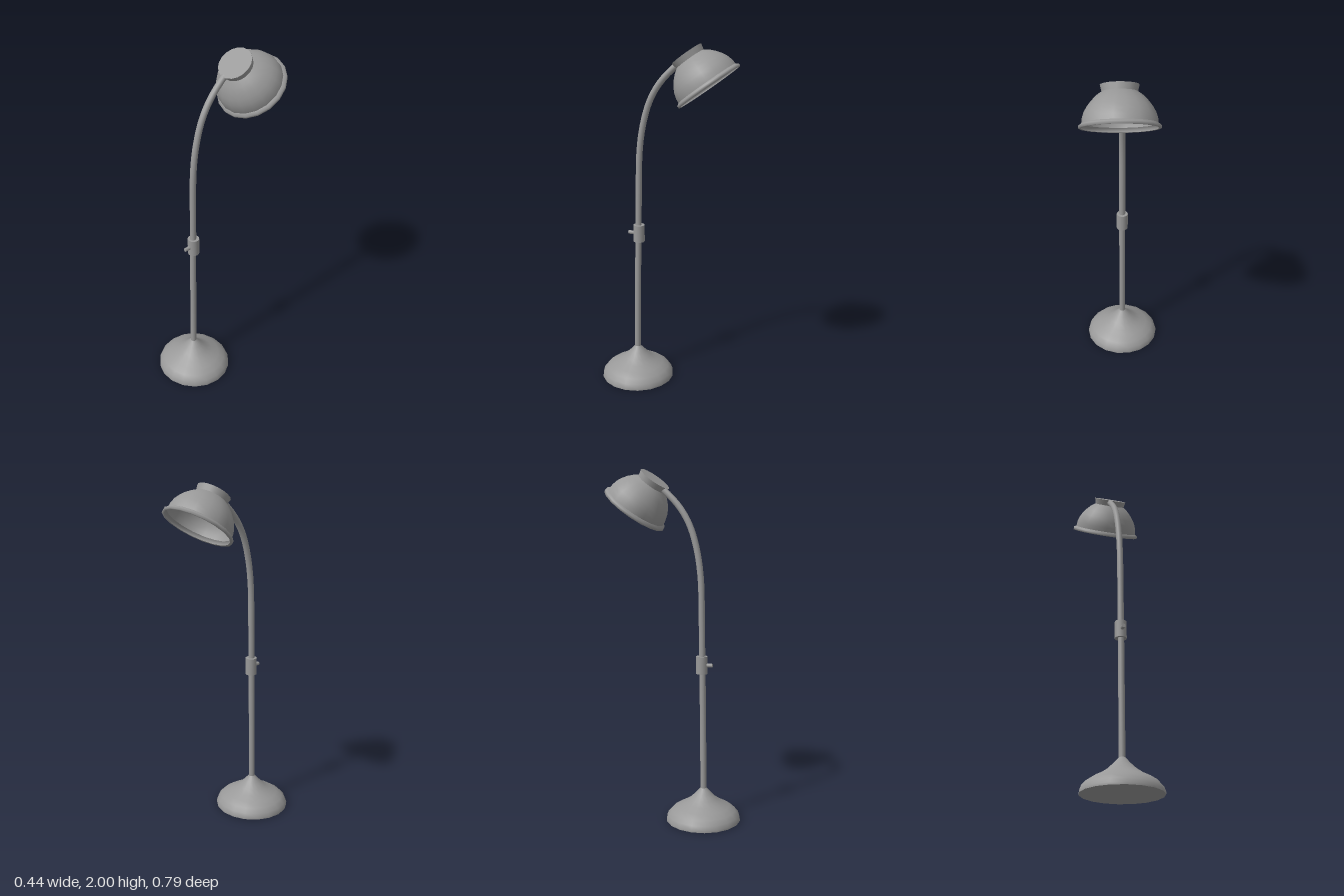
import * as THREE from 'three';

const grey = new THREE.MeshStandardMaterial({ color: 0x999999, side: THREE.DoubleSide });
grey.name = 'grey metal';

const SIDES = 18;
const SQUASH = 0.967; // round parts are slightly narrower front to back

function add(parent, name, geometry, x = 0, y = 0, z = 0) {
  const mesh = new THREE.Mesh(geometry, grey);
  mesh.name = name;
  mesh.position.set(x, y, z);
  parent.add(mesh);
  return mesh;
}

// Smooth lathe with a corner pointing along x
function turned(points) {
  return new THREE.LatheGeometry(points.map(([r, y]) => new THREE.Vector2(r, y)), SIDES)
    .rotateY(Math.PI / SIDES)
    .scale(1, 1, SQUASH);
}

function disc(radius, facing) {
  return new THREE.CircleGeometry(radius, SIDES)
    .rotateX(-facing * Math.PI / 2)
    .scale(1, 1, SQUASH);
}

function rod(points, segments) {
  const curve = new THREE.CatmullRomCurve3(points.map(([y, z]) => new THREE.Vector3(0, y, z)));
  return new THREE.TubeGeometry(curve, segments, 0.018, 12);
}

export function createModel() {
  const lamp = new THREE.Group();
  lamp.name = 'floorLamp';

  // Bell-shaped foot
  const base = new THREE.Group();
  base.name = 'base';
  base.position.z = 0.185;
  lamp.add(base);
  add(base, 'baseBell', turned([
    [0.22, 0], [0.22, 0.012], [0.212, 0.035], [0.19, 0.06], [0.155, 0.083],
    [0.115, 0.103], [0.08, 0.127], [0.048, 0.157], [0.018, 0.19],
  ]));
  add(base, 'baseUnderside', disc(0.22, -1));

  // Two-piece pole, the upper one bending back to the shade
  add(lamp, 'lowerPole', rod([[0.17, 0.185], [0.55, 0.18], [0.9, 0.174]], 4));
  add(lamp, 'upperPole', rod([
    [0.9, 0.173], [1.15, 0.169], [1.4, 0.161], [1.55, 0.139], [1.68, 0.1],
    [1.77, 0.05], [1.84, -0.01], [1.885, -0.06],
  ], 28));

  // Height clamp with its screw
  add(lamp, 'clampCollar', new THREE.CylinderGeometry(0.033, 0.033, 0.1, 16), 0, 0.91, 0.17);
  add(lamp, 'clampScrew', new THREE.CylinderGeometry(0.011, 0.011, 0.05, 10).rotateX(Math.PI / 2),
    0, 0.91, 0.208);

  // Tilted head, with its origin at the centre of the cap
  const head = new THREE.Group();
  head.name = 'head';
  head.position.set(0.016, 1.945, -0.115);
  head.rotation.x = 0.64;
  lamp.add(head);
  add(head, 'capTop', disc(0.098, 1));
  add(head, 'capRim', turned([[0.09, -0.034], [0.098, 0]]));
  add(head, 'shadeBowl', turned([
    [0.19, -0.19], [0.188, -0.165], [0.179, -0.135], [0.164, -0.107],
    [0.143, -0.079], [0.118, -0.054], [0.09, -0.034],
  ]));
  add(head, 'shadeLip', turned([[0.192, -0.214], [0.205, -0.214], [0.205, -0.2], [0.19, -0.19]]));

  return lamp;
}
